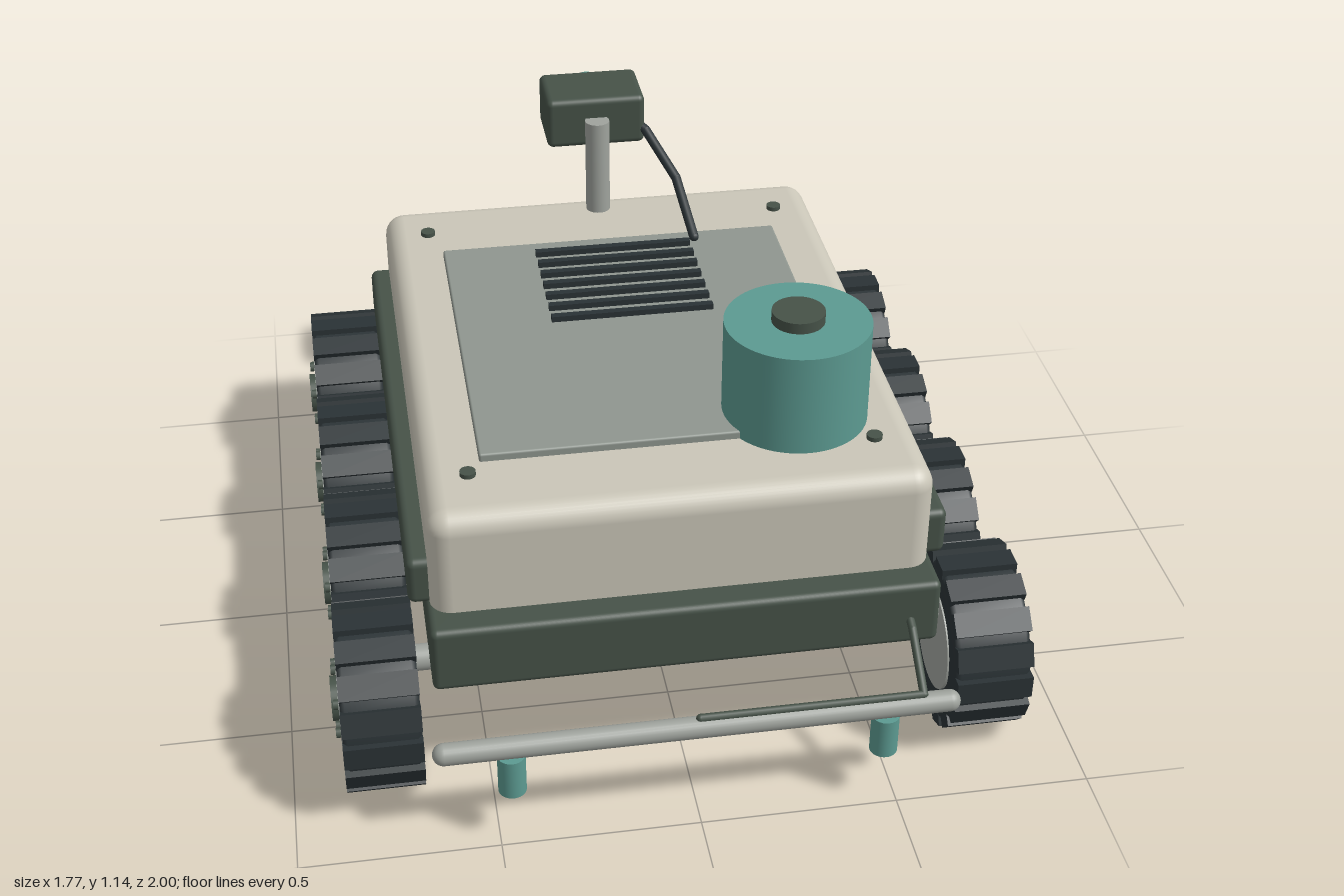
import * as THREE from 'three';
import { RoundedBoxGeometry } from 'three/addons/geometries/RoundedBoxGeometry.js';

const material = (name, color) => {
  const m = new THREE.MeshStandardMaterial({ color });
  m.name = name;
  return m;
};

export function createModel() {
  const rubber = material('black rubber', 0x2a3235);
  const green = material('dark green', 0x465248);
  const cream = material('cream', 0xcac6b8);
  const metal = material('light metal', 0x9fa39d);
  const panelGrey = material('panel grey', 0x8f968f);
  const teal = material('teal', 0x5c9a91);

  const model = new THREE.Group();
  model.name = 'rover';

  const add = (parent, name, geometry, mat, x = 0, y = 0, z = 0) => {
    const mesh = new THREE.Mesh(geometry, mat);
    mesh.name = name;
    mesh.position.set(x, y, z);
    parent.add(mesh);
    return mesh;
  };
  // Box given by its minimum and maximum corners
  const box = (name, mat, a, b, radius) => add(model, name,
    new RoundedBoxGeometry(b[0] - a[0], b[1] - a[1], b[2] - a[2], 4, radius), mat,
    (a[0] + b[0]) / 2, (a[1] + b[1]) / 2, (a[2] + b[2]) / 2);
  // Upright cylinder standing on y0
  const post = (name, mat, r, y0, y1, x, z, segments = 40) => add(model, name,
    new THREE.CylinderGeometry(r, r, y1 - y0, segments), mat, x, (y0 + y1) / 2, z);
  // Cylinder lying along x
  const rodX = (parent, name, mat, r, x0, x1, y, z, segments = 32) => add(parent, name,
    new THREE.CylinderGeometry(r, r, Math.abs(x1 - x0), segments).rotateZ(Math.PI / 2),
    mat, (x0 + x1) / 2, y, z);
  // Cable made of straight runs between points
  const cable = (name, mat, r, points) => {
    const path = new THREE.CurvePath();
    const p = points.map((q) => new THREE.Vector3(...q));
    for (let i = 1; i < p.length; i++) {
      path.add(new THREE.LineCurve3(p[i - 1], p[i]));
      add(model, name + 'Joint', new THREE.SphereGeometry(r, 12, 8), mat, ...points[i]);
    }
    for (const c of path.curves) add(model, name, new THREE.TubeGeometry(c, 1, r, 12), mat);
  };

  // Body
  box('chassis', green, [-0.635, 0.345, -0.92], [0.635, 0.527, 0.805], 0.018);
  box('bodyShell', cream, [-0.625, 0.46, -0.835], [0.625, 0.805, 0.73], 0.055);
  for (const s of [-1, 1]) {
    const [x0, x1] = s > 0 ? [0.59, 0.677] : [-0.677, -0.59];
    box('sidePod', green, [x0, 0.515, -0.775], [x1, 0.645, 0.67], 0.02);
  }

  // Deck panel, vent slats and screws
  box('deckPanel', panelGrey, [-0.475, 0.795, -0.53], [0.475, 0.826, 0.5], 0.006);
  for (let i = 0; i < 7; i++) {
    add(model, 'ventSlat', new THREE.BoxGeometry(0.44, 0.022, 0.02), rubber,
      0, 0.831, -0.456 + i * 0.0592);
  }
  for (const x of [-0.508, 0.508]) {
    for (const z of [-0.665, 0.55]) post('deckScrew', green, 0.02, 0.79, 0.817, x, z, 20);
  }

  // Sensor drum
  post('sensorDrum', teal, 0.185, 0.79, 1.077, 0.335, 0.405, 64);
  post('drumCap', green, 0.067, 1.07, 1.106, 0.335, 0.405, 32);

  // Camera mast at the rear
  post('mast', metal, 0.035, 0.79, 1.087, 0, -0.753, 28);
  box('cameraHousing', green, [-0.142, 0.997, -0.97], [0.142, 1.145, -0.77], 0.018);
  add(model, 'cameraLens', new THREE.CylinderGeometry(0.055, 0.055, 0.04, 32).rotateX(Math.PI / 2),
    teal, 0, 1.072, -0.98);
  cable('cameraCable', rubber, 0.014,
    [[0.12, 1.05, -0.8], [0.145, 1.035, -0.775], [0.213, 0.94, -0.645], [0.237, 0.835, -0.48]]);

  // Front bar with its hanging sensors and wire
  add(model, 'frontBar', new THREE.CapsuleGeometry(0.028, 1.254, 8, 24).rotateZ(Math.PI / 2),
    metal, 0, 0.282, 0.96);
  for (const x of [-0.465, 0.465]) post('barSensor', teal, 0.035, 0.152, 0.263, x, 0.965, 28);
  cable('barWire', green, 0.011,
    [[0.56, 0.42, 0.8], [0.56, 0.41, 0.825], [0.56, 0.31, 0.96], [0, 0.31, 0.96]]);

  // Wheel parts, outer face towards +x
  const TREADS = 16;
  const tyreProfile = [[0.13, -0.085], [0.15, -0.097], [0.21, -0.097], [0.222, -0.085],
    [0.222, 0.085], [0.21, 0.097], [0.15, 0.097], [0.13, 0.085]]
    .map(([r, h]) => new THREE.Vector2(r, h));
  const tyreGeometry = new THREE.LatheGeometry(tyreProfile, 48).rotateZ(-Math.PI / 2);
  const treadGeometry = new THREE.BoxGeometry(0.196, 0.03, 0.062);

  const makeWheel = () => {
    const wheel = new THREE.Group();
    wheel.name = 'wheel';
    add(wheel, 'tyre', tyreGeometry, rubber);
    for (let i = 0; i < TREADS; i++) {
      const a = (i / TREADS) * Math.PI * 2;
      const tread = add(wheel, 'tread', treadGeometry, rubber,
        0, Math.cos(a) * 0.2215, Math.sin(a) * 0.2215);
      tread.rotation.x = a;
    }
    rodX(wheel, 'hub', metal, 0.138, -0.098, 0.1, 0, 0, 48);
    rodX(wheel, 'hubCap', green, 0.057, 0.09, 0.118, 0, 0);
    for (let i = 0; i < 6; i++) {
      const a = (i / 6) * Math.PI * 2;
      rodX(wheel, 'hubBolt', green, 0.013, 0.09, 0.113,
        Math.cos(a) * 0.092, Math.sin(a) * 0.092, 12);
    }
    return wheel;
  };

  // Four wheels on each side with their axle stubs
  for (const s of [-1, 1]) {
    for (const z of [0.66, 0.187, -0.287, -0.76]) {
      const wheel = makeWheel();
      wheel.position.set(s * 0.768, 0.2375, z);
      if (s < 0) wheel.rotation.y = Math.PI;
      model.add(wheel);
      rodX(model, 'axleMount', green, 0.04, s * 0.53, s * 0.612, 0.345, z);
      rodX(model, 'axle', metal, 0.034, s * 0.6, s * 0.69, 0.342, z);
    }
  }
  return model;
}
